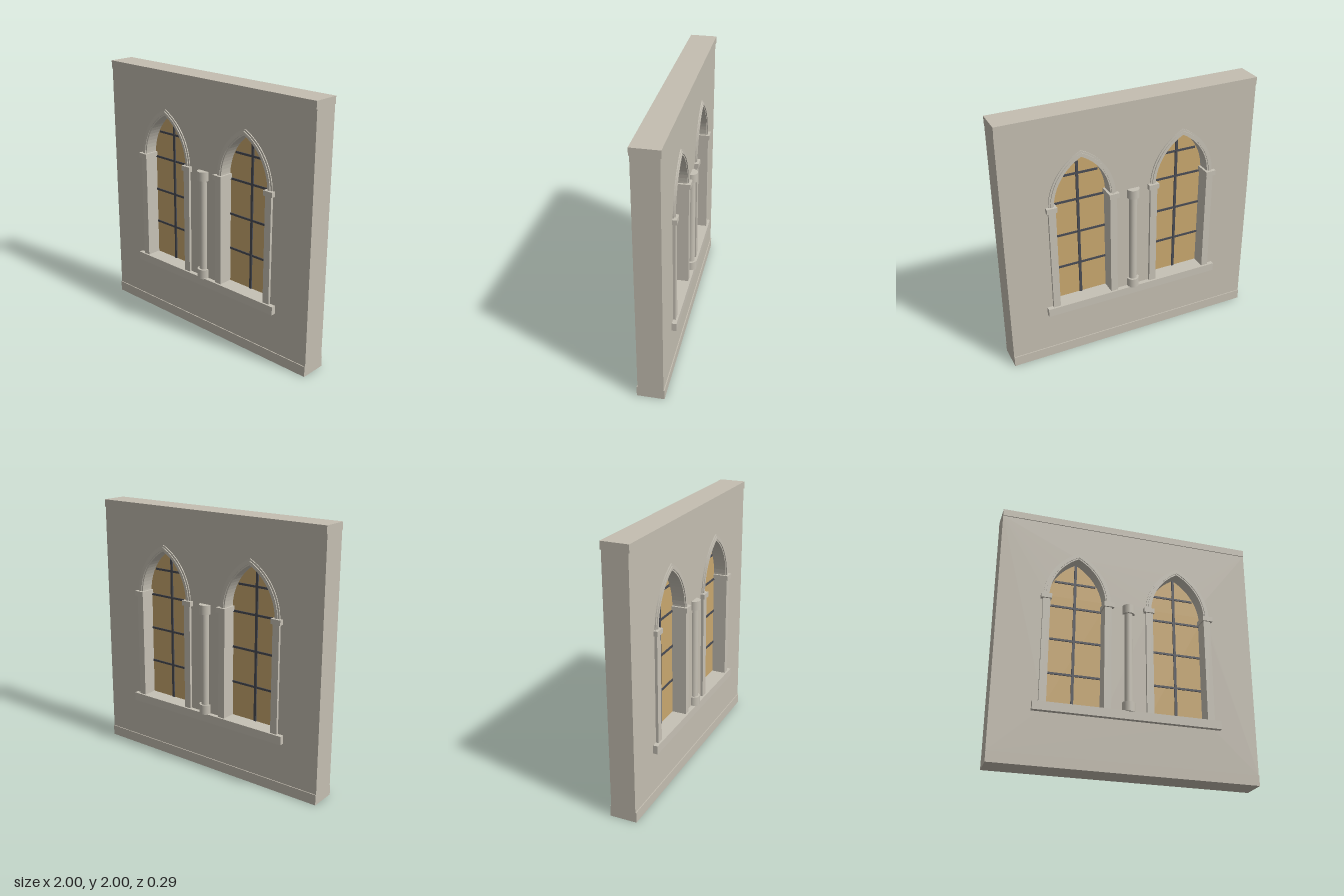
import * as THREE from 'three';

const wallStone = new THREE.MeshStandardMaterial({ color: 0xc4beb1 });
wallStone.name = 'wallStone';
const trimStone = new THREE.MeshStandardMaterial({ color: 0xc6c1b5 });
trimStone.name = 'trimStone';
const amberGlass = new THREE.MeshStandardMaterial({ color: 0xc9a86f });
amberGlass.name = 'amberGlass';
const leadMetal = new THREE.MeshStandardMaterial({ color: 0x4a4c54 });
leadMetal.name = 'leadMetal';

const SPRING = 1.3;      // height where the arches begin
const OFFSET = 0.19;     // arc centres lie this far past the window axis
const WINDOW_X = 0.4;

function add(parent, name, geometry, material, x = 0, y = 0, z = 0) {
  const mesh = new THREE.Mesh(geometry, material);
  mesh.name = name;
  mesh.position.set(x, y, z);
  parent.add(mesh);
  return mesh;
}

// Box given by its centre x, lower and upper y, and half depth about z = 0
function slab(parent, name, material, x, width, y0, y1, halfDepth) {
  return add(parent, name, new THREE.BoxGeometry(width, y1 - y0, halfDepth * 2), material, x, (y0 + y1) / 2);
}

// Pointed arch from right springing to left springing, made of two arcs
function archPoints(radius, cx = 0, steps = 14) {
  const top = Math.acos(OFFSET / radius);
  const right = [];
  for (let i = 0; i <= steps; i++) {
    const a = (top * i) / steps;
    right.push([radius * Math.cos(a) - OFFSET, SPRING + radius * Math.sin(a)]);
  }
  const left = right.slice(0, -1).reverse().map(([x, y]) => [-x, y]);
  return [...right, ...left].map(([x, y]) => new THREE.Vector2(cx + x, y));
}

// Arch closed by straight sides down to the given bottom height
function lancet(radius, bottom, cx = 0) {
  const w = radius - OFFSET;
  return [new THREE.Vector2(cx - w, bottom), new THREE.Vector2(cx + w, bottom), ...archPoints(radius, cx)];
}

function extrude(shape, halfDepth) {
  const geometry = new THREE.ExtrudeGeometry(shape, { depth: halfDepth * 2, bevelEnabled: false });
  return geometry.translate(0, 0, -halfDepth);
}

function archRing(inner, outer, halfDepth) {
  return extrude(new THREE.Shape([...archPoints(outer), ...archPoints(inner).reverse()]), halfDepth);
}

function createWindow(x) {
  const group = new THREE.Group();
  group.name = 'lancetWindow';
  group.position.x = x;

  add(group, 'glass', extrude(new THREE.Shape(lancet(0.412, 0.45)), 0.004), amberGlass);

  // Glazing bars
  slab(group, 'mullionBar', leadMetal, 0, 0.02, 0.45, 1.665, 0.012);
  for (const [y, width] of [[0.73, 0.42], [1.005, 0.42], [1.28, 0.42], [1.49, 0.32]]) {
    slab(group, 'crossBar', leadMetal, 0, width, y - 0.008, y + 0.008, 0.011);
  }

  // Jambs and impost blocks run through the full wall depth
  for (const side of [-1, 1]) {
    slab(group, 'jamb', trimStone, side * 0.2365, 0.055, 0.455, 1.285, 0.115);
    slab(group, 'impost', trimStone, side * 0.24, 0.08, 1.28, 1.318, 0.127);
  }

  // Stepped arch moulding
  add(group, 'archMoulding', archRing(0.408, 0.45, 0.103), trimStone);
  add(group, 'archRoll', archRing(0.418, 0.436, 0.11), trimStone);
  return group;
}

function createColumn(z) {
  const group = new THREE.Group();
  group.name = 'engagedColumn';
  group.position.z = z;
  const drum = (name, radius, y0, y1) =>
    add(group, name, new THREE.CylinderGeometry(radius, radius, y1 - y0, 20), trimStone, 0, (y0 + y1) / 2);
  drum('columnBase', 0.048, 0.455, 0.53);
  drum('columnShaft', 0.032, 0.53, 1.245);
  drum('columnCapital', 0.048, 1.245, 1.315);
  return group;
}

export function createModel() {
  const model = new THREE.Group();
  model.name = 'archedWindowWall';

  // Wall panel with two pointed openings, between plinth and coping
  const panel = new THREE.Shape([
    new THREE.Vector2(-1, 0.08), new THREE.Vector2(1, 0.08),
    new THREE.Vector2(1, 1.945), new THREE.Vector2(-1, 1.945),
  ]);
  for (const side of [-1, 1]) {
    panel.holes.push(new THREE.Path(lancet(0.412, 0.43, side * WINDOW_X).reverse()));
  }
  add(model, 'wall', extrude(panel, 0.095), wallStone);
  slab(model, 'plinth', wallStone, 0, 2, 0, 0.08, 0.102);
  slab(model, 'coping', wallStone, 0, 2, 1.945, 2, 0.102);

  slab(model, 'sill', trimStone, 0, 1.42, 0.395, 0.46, 0.13);

  for (const side of [-1, 1]) {
    model.add(createWindow(side * WINDOW_X));
    model.add(createColumn(side * 0.097));
  }
  return model;
}
